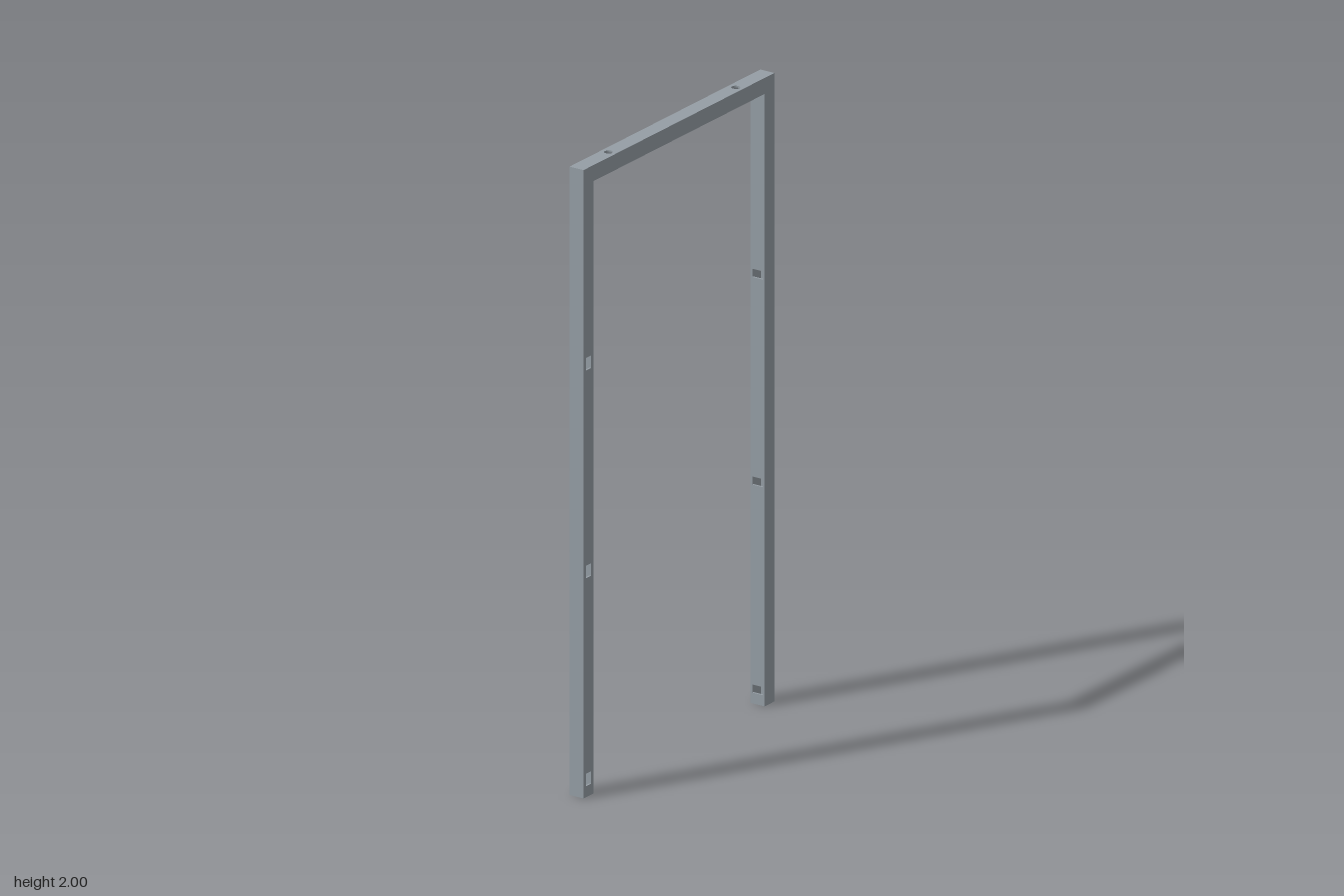
import * as THREE from 'three';

const W = 0.051;                   // outer size of the square tube
const T = 0.006;                   // wall thickness
const H = 2;                       // overall height
const ZF = 0.497, ZB = -0.4945;    // outer faces of the front and back posts
const SLOT_Y = [0.055, 0.717, 1.378];
const BOLT_Y = 1.65;
const COLLAR = 0.0025;             // how far the collar stands out
const IN = W - 2 * T;              // clear width inside the tube

const material = new THREE.MeshStandardMaterial({ color: 0x959ea5 });

const rect = (x, y, w, h) => new THREE.Path([
  [x - w / 2, y - h / 2], [x + w / 2, y - h / 2], [x + w / 2, y + h / 2], [x - w / 2, y + h / 2],
].map(([a, b]) => new THREE.Vector2(a, b)));

const circle = (x, y, r) => new THREE.Path().absarc(x, y, r, 0, Math.PI * 2, true);

function plate(name, shape, holes, depth = T) {
  shape.holes.push(...holes);
  const geometry = new THREE.ExtrudeGeometry(shape, { depth, bevelEnabled: false, curveSegments: 16 });
  const mesh = new THREE.Mesh(geometry, material);
  mesh.name = name;
  return mesh;
}

const polygon = (points) => new THREE.Shape(points.map(([a, b]) => new THREE.Vector2(a, b)));

// Wall strip between the two side walls, running from a to b
const strip = (name, a, b, holes = []) =>
  plate(name, polygon([[-IN / 2, a], [IN / 2, a], [IN / 2, b], [-IN / 2, b]]), holes);

export function createModel() {
  const group = new THREE.Group();
  group.name = 'doorFrame';

  // Side walls: one continuous U outline each, slotted along the front post
  const outline = [
    [ZB, 0], [ZB + W, 0], [ZB + W, H - W], [ZF - W, H - W],
    [ZF - W, 0], [ZF, 0], [ZF, H], [ZB, H],
  ].map(([z, y]) => [-z, y]);
  for (const [name, x] of [['leftSideWall', W / 2 - T], ['rightSideWall', -W / 2]]) {
    const slots = SLOT_Y.map((y) => rect(-(ZF - W / 2), y, 0.028, 0.04));
    const wall = plate(name, polygon(outline), slots);
    wall.rotation.y = Math.PI / 2;
    wall.position.x = x;
    group.add(wall);
  }

  // Front and back walls of both posts
  const backSlots = SLOT_Y.map((y) => rect(0, y - 0.008, 0.038, 0.026));
  const postWalls = [
    [strip('frontPostOuterWall', 0, H), ZF - T],
    [strip('frontPostInnerWall', 0, H - W), ZF - W],
    [strip('backPostInnerWall', 0, H - W, backSlots), ZB + W - T],
    [strip('backPostOuterWall', 0, H, [circle(0, BOLT_Y, 0.014)]), ZB],
  ];
  for (const [wall, z] of postWalls) {
    wall.position.z = z;
    group.add(wall);
  }

  // Top and bottom walls of the crossbar, drilled through twice
  const drilled = () => [-0.33, 0.33].map((z) => circle(0, -z, 0.0135));
  const barWalls = [
    [strip('crossbarTopWall', -(ZF - T), -(ZB + T), drilled()), H - T],
    [strip('crossbarBottomWall', -(ZF - W + T), -(ZB + W - T), drilled()), H - W],
  ];
  for (const [wall, y] of barWalls) {
    wall.rotation.x = -Math.PI / 2;
    wall.position.y = y;
    group.add(wall);
  }

  // Raised collar around the hole in the back post
  const disc = new THREE.Shape().absarc(0, 0, 0.021, 0, Math.PI * 2, false);
  const collar = plate('backCollar', disc, [circle(0, 0, 0.014)], COLLAR);
  collar.position.set(0, BOLT_Y, ZB - COLLAR);
  group.add(collar);

  return group;
}
